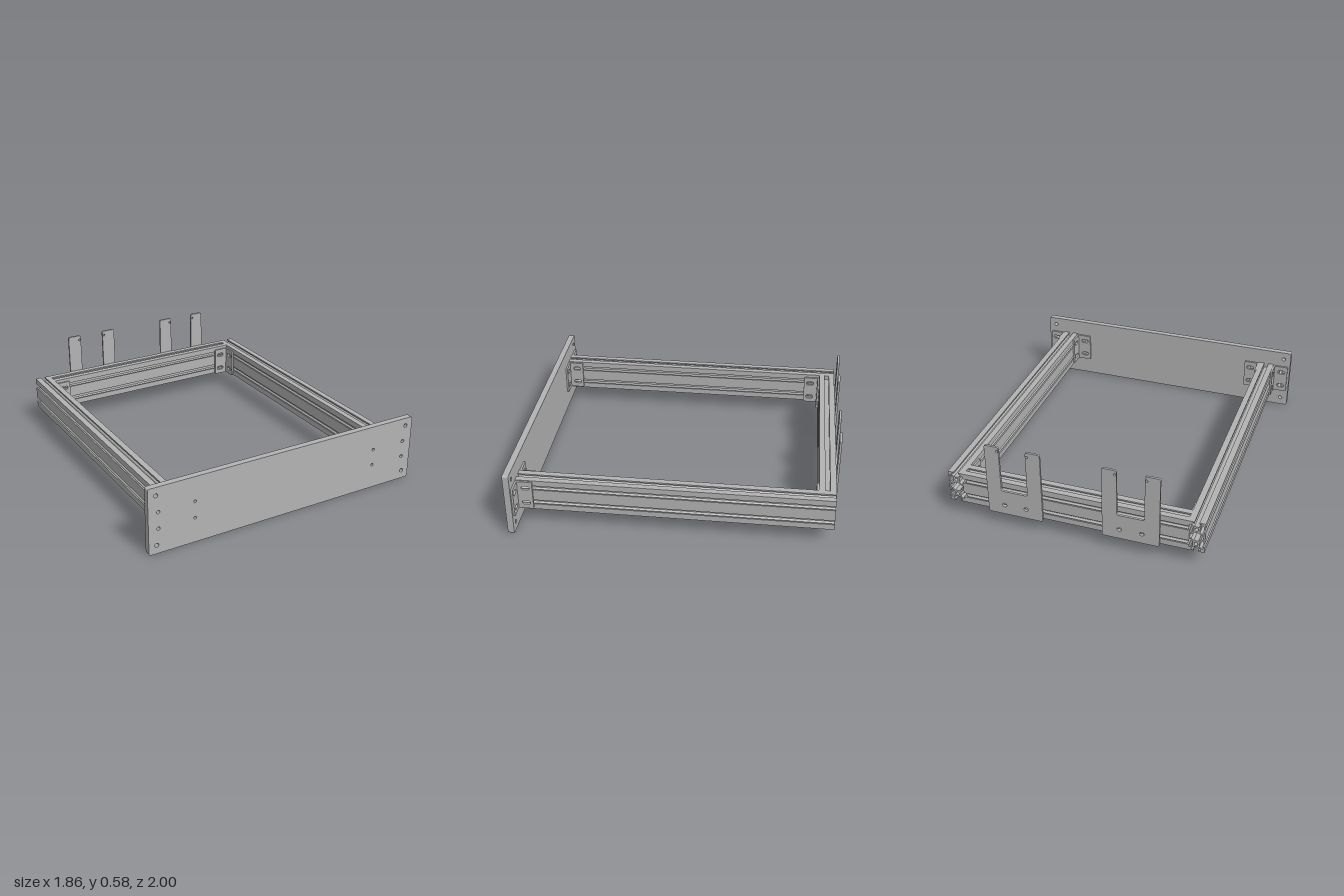
import * as THREE from 'three';

const gray = new THREE.MeshStandardMaterial({ color: 0xb3b3b3 });
gray.name = 'aluminium gray';

// Closed outline; each corner is rounded with radius r
function roundedOutline(points, r) {
  const shape = new THREE.Shape();
  const pts = points.map(([x, y]) => new THREE.Vector2(x, y));
  pts.forEach((p, i) => {
    const prev = pts[(i + pts.length - 1) % pts.length];
    const next = pts[(i + 1) % pts.length];
    const a = p.clone().add(prev.clone().sub(p).setLength(r));
    const b = p.clone().add(next.clone().sub(p).setLength(r));
    if (i === 0) shape.moveTo(a.x, a.y); else shape.lineTo(a.x, a.y);
    shape.quadraticCurveTo(p.x, p.y, b.x, b.y);
  });
  shape.closePath();
  return shape;
}

function addHole(shape, x, y, r) {
  const hole = new THREE.Path();
  hole.absarc(x, y, r, 0, Math.PI * 2, true);
  shape.holes.push(hole);
}

// Slot with round ends, lying along x
function addSlot(shape, x, y, halfLength, r) {
  const slot = new THREE.Path();
  slot.absarc(x + halfLength - r, y, r, -Math.PI / 2, Math.PI / 2, false);
  slot.absarc(x - halfLength + r, y, r, Math.PI / 2, Math.PI * 1.5, false);
  slot.closePath();
  shape.holes.push(slot);
}

const extrude = (shape, depth) =>
  new THREE.ExtrudeGeometry(shape, { depth, bevelEnabled: false, curveSegments: 12 });

function addMesh(parent, name, geometry) {
  const mesh = new THREE.Mesh(geometry, gray);
  mesh.name = name;
  parent.add(mesh);
  return mesh;
}

// Double T-slot rail section, drawn as one quadrant and mirrored
function railSection() {
  const unit = 0.105 / 20;
  const quarter = [
    [10, 7.2], [8.2, 7.2], [8.2, 4.5], [6.5, 4.5], [3.9, 7.2], [3.9, 12.8],
    [6.5, 15.5], [8.2, 15.5], [8.2, 12.8], [10, 12.8], [10, 20], [2.8, 20],
    [2.8, 18.2], [5.5, 18.2], [5.5, 16.5], [2.8, 13.9],
  ];
  const flip = (list, sx, sy) => list.map(([x, y]) => [x * sx, y * sy]);
  const outline = [
    ...quarter,
    ...flip([...quarter].reverse(), -1, 1),
    ...flip(quarter, -1, -1),
    ...flip([...quarter].reverse(), 1, -1),
  ];
  const toVectors = (list) => list.map(([x, y]) => new THREE.Vector2(x * unit, y * unit));
  const shape = new THREE.Shape(toVectors(outline));
  // Central cavity and the two bores
  shape.holes.push(new THREE.Path(toVectors([
    [8.2, -2.8], [8.2, 2.8], [5.5, 2.8], [2.7, 5.4], [-2.7, 5.4], [-5.5, 2.8],
    [-8.2, 2.8], [-8.2, -2.8], [-5.5, -2.8], [-2.7, -5.4], [2.7, -5.4], [5.5, -2.8],
  ])));
  for (const y of [-10, 10]) addHole(shape, 0, y * unit, 2.1 * unit);
  return shape;
}

// Angle bracket with legs along +x and +z from its corner
function createBracket(name) {
  const thick = 0.012;
  const leg = roundedOutline([[0, 0], [0.105, 0], [0.105, 0.195], [0, 0.195]], 0.008);
  for (const y of [0.043, 0.15]) addSlot(leg, 0.062, y, 0.026, 0.013);
  const bracket = new THREE.Group();
  bracket.name = name;
  addMesh(bracket, 'bracketLeg', extrude(leg, thick));
  addMesh(bracket, 'bracketLeg', extrude(leg, thick).rotateY(-Math.PI / 2).translate(thick, 0, 0));
  return bracket;
}

// Two-pronged mounting plate, centred on x
function forkGeometry() {
  const shape = roundedOutline([
    [-0.177, 0.095], [0.177, 0.095], [0.177, 0.58], [0.085, 0.58],
    [0.085, 0.265], [-0.085, 0.265], [-0.085, 0.58], [-0.177, 0.58],
  ], 0.014);
  for (const s of [-1, 1]) {
    addHole(shape, s * 0.07, 0.162, 0.014);
    addHole(shape, s * 0.095, 0.55, 0.008);
  }
  return extrude(shape, 0.014);
}

export function createModel() {
  const model = new THREE.Group();
  model.name = 'railFrame';

  // Front plate with mounting holes
  const plate = roundedOutline([[-0.932, 0], [0.932, 0], [0.932, 0.425], [-0.932, 0.425]], 0.015);
  for (const s of [-1, 1]) {
    for (const y of [0.055, 0.373]) addHole(plate, s * 0.882, y, 0.013);
    for (const y of [0.16, 0.267]) {
      addHole(plate, s * 0.869, y, 0.011);
      addHole(plate, s * 0.635, y, 0.009);
    }
  }
  addMesh(model, 'frontPlate', extrude(plate, 0.04)).position.z = 0.96;

  // Rails
  const section = railSection();
  const sideRail = extrude(section, 1.945);
  for (const s of [-1, 1]) {
    addMesh(model, s > 0 ? 'leftRail' : 'rightRail', sideRail).position.set(s * 0.76, 0.215, -0.985);
  }
  const backRail = extrude(section, 1.415).translate(0, 0, -0.7075).rotateY(Math.PI / 2);
  addMesh(model, 'backRail', backRail).position.set(0, 0.215, -0.9325);

  // Corner brackets: x, y, z, quarter turns
  const brackets = [
    ['frontOuterBracket', 0.8125, 0.12, 0.96, 1],
    ['frontInnerBracket', 0.7075, 0.12, 0.96, 2],
    ['frontOuterBracket', -0.8125, 0.12, 0.96, 2],
    ['frontInnerBracket', -0.7075, 0.12, 0.96, 1],
    ['backInnerBracket', 0.7075, 0.105, -0.88, -1],
    ['backInnerBracket', -0.7075, 0.105, -0.88, 0],
  ];
  for (const [name, x, y, z, turns] of brackets) {
    const bracket = createBracket(name);
    bracket.position.set(x, y, z);
    bracket.rotation.y = turns * Math.PI / 2;
    model.add(bracket);
  }

  // Forked plates on the back rail
  const fork = forkGeometry();
  for (const s of [-1, 1]) {
    addMesh(model, s > 0 ? 'leftForkPlate' : 'rightForkPlate', fork).position.set(s * 0.367, 0, -1);
  }
  return model;
}
